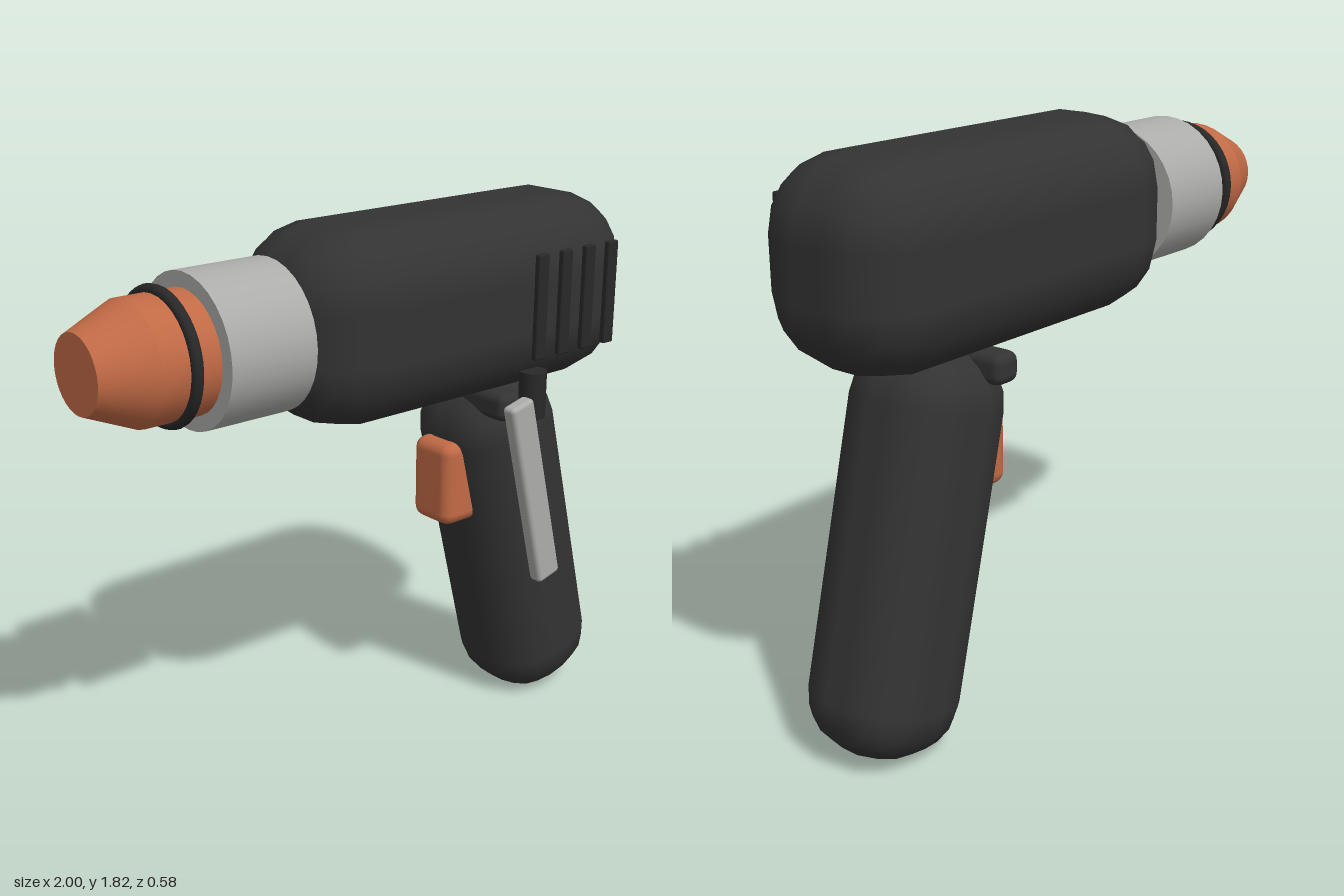
import * as THREE from 'three';
import { RoundedBoxGeometry } from 'three/addons/geometries/RoundedBoxGeometry.js';

const mat = (name, color) => {
  const m = new THREE.MeshStandardMaterial({ color });
  m.name = name;
  return m;
};

export function createModel() {
  const charcoal = mat('charcoal', 0x333333);
  const black = mat('black', 0x282828);
  const copper = mat('copper', 0xc16a45);
  const steel = mat('steel', 0xacadaa);

  const group = new THREE.Group();
  group.name = 'powerDrill';
  const axisY = 1.512, axisZ = -0.01, tilt = 0.247;

  const add = (name, geometry, material, x, y, z, rz = 0) => {
    const mesh = new THREE.Mesh(geometry, material);
    mesh.name = name;
    mesh.position.set(x, y, z);
    mesh.rotation.z = rz;
    group.add(mesh);
    return mesh;
  };
  const block = (w, h, d, r, segments = 2) => new RoundedBoxGeometry(w, h, d, segments, r);

  // Barrel section lying along x; rFront is the radius at the -x end
  const barrel = (name, x0, x1, rFront, rBack, material) =>
    add(name, new THREE.CylinderGeometry(rFront, rBack, x1 - x0, 32), material,
      (x0 + x1) / 2, axisY, axisZ, Math.PI / 2);

  // Motor housing and raked grip
  add('motorHousing', block(1.36, 0.62, 0.56, 0.23), charcoal, 0.32, 1.51, axisZ);
  add('grip', block(0.43, 1.255, 0.425, 0.18), charcoal, 0.664, 0.62, axisZ, tilt);

  // Collar, nose and ring
  barrel('collar', -0.65, -0.355, 0.232, 0.232, steel);
  barrel('noseSleeve', -0.84, -0.64, 0.185, 0.185, copper);
  barrel('noseCone', -1, -0.84, 0.117, 0.185, copper);
  const ring = add('noseRing', new THREE.TorusGeometry(0.19, 0.018, 10, 40), black, -0.735, axisY, axisZ);
  ring.rotation.y = Math.PI / 2;

  // Trigger on the front of the grip
  add('trigger', block(0.2, 0.29, 0.18, 0.04), copper, 0.395, 0.885, axisZ);

  // Direction switch passing through the top of the grip
  add('directionSwitch', block(0.1, 0.095, 0.46, 0.03), charcoal, 0.45, 1.172, axisZ);

  // Belt clip and its post
  add('beltClip', block(0.1, 0.675, 0.053, 0.015), steel, 0.508, 0.878, 0.263, tilt);
  add('clipPost', new THREE.CylinderGeometry(0.045, 0.045, 0.155, 20), black, 0.51, 1.215, 0.243);

  // Row of cooling ribs
  for (let i = 0; i < 4; i++) {
    add('coolingRib', block(0.046, 0.34, 0.022, 0.006), black, 0.494 + i * 0.107, 1.51, 0.278);
  }
  return group;
}
